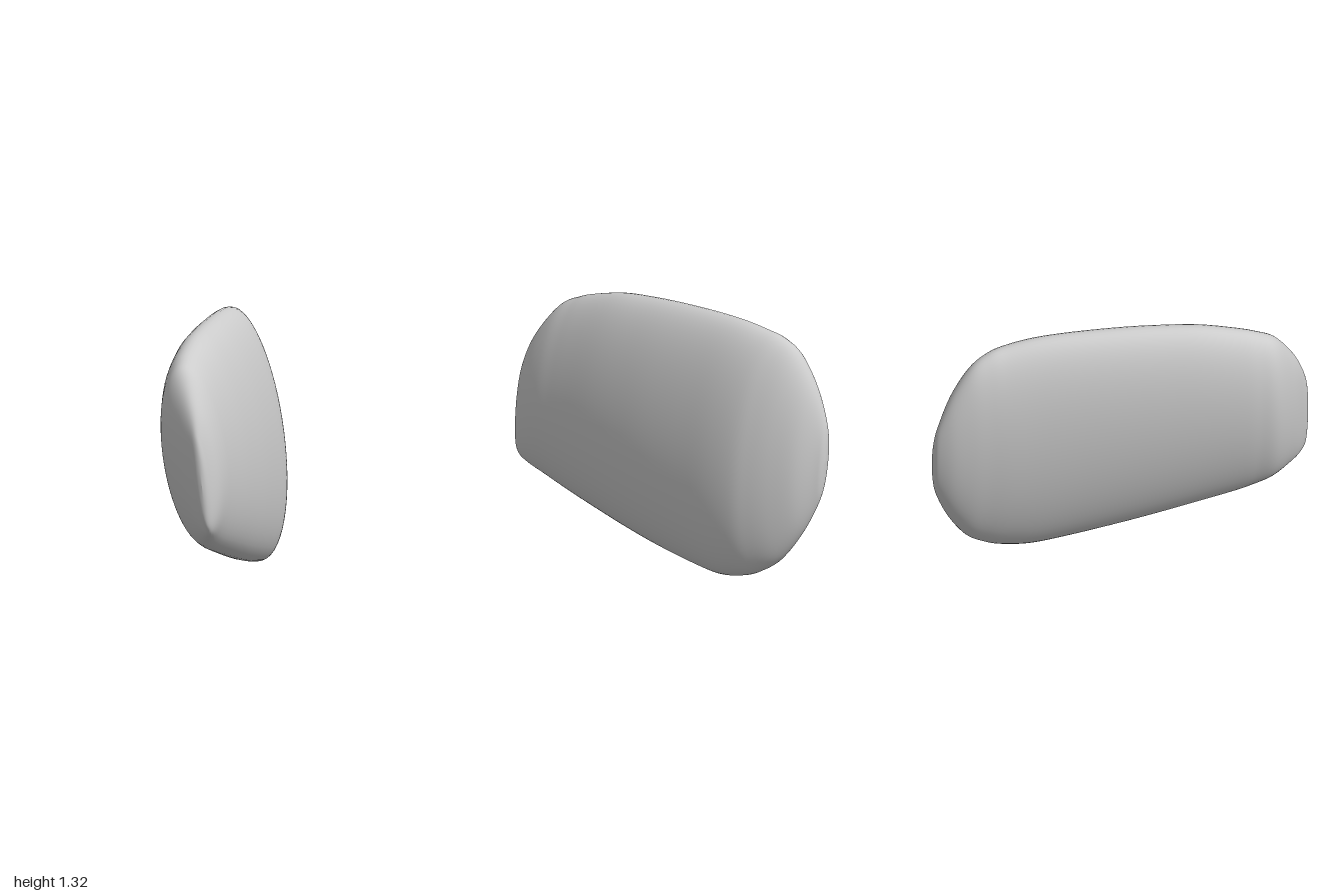
import * as THREE from 'three';

// Cross-sections from back to front: z, bottom y, top y, min x, max x
const STATIONS = [
  [-1, 0.66, 0.66, -0.09, -0.09],
  [-0.992, 0.53, 0.78, -0.125, -0.06],
  [-0.97, 0.43, 0.88, -0.15, -0.03],
  [-0.9, 0.27, 1.05, -0.182, 0.055],
  [-0.8, 0.125, 1.2, -0.2, 0.125],
  [-0.7, 0.055, 1.267, -0.205, 0.175],
  [-0.6, 0.018, 1.293, -0.208, 0.21],
  [-0.45, 0.002, 1.315, -0.211, 0.228],
  [-0.25, 0.028, 1.325, -0.217, 0.228],
  [0, 0.075, 1.325, -0.225, 0.221],
  [0.2, 0.12, 1.317, -0.23, 0.208],
  [0.4, 0.17, 1.3, -0.232, 0.19],
  [0.6, 0.222, 1.257, -0.227, 0.167],
  [0.7, 0.252, 1.225, -0.217, 0.156],
  [0.8, 0.287, 1.175, -0.193, 0.146],
  [0.9, 0.335, 1.045, -0.1, 0.13],
  [0.96, 0.378, 0.92, -0.025, 0.105],
  [0.99, 0.45, 0.8, 0.015, 0.078],
  [1, 0.62, 0.62, 0.05, 0.05],
];
const SIDES = 64, STEPS = 6, LEAN = 0.13;

// Catmull-Rom blend of neighbouring stations
function stationAt(t) {
  const last = STATIONS.length - 1;
  const i = Math.min(Math.floor(t), last - 1), f = t - i;
  const row = k => STATIONS[Math.max(0, Math.min(last, k))];
  return STATIONS[i].map((p1, c) => {
    const p0 = row(i - 1)[c], p2 = row(i + 1)[c], p3 = row(i + 2)[c];
    return p1 + 0.5 * f * (p2 - p0 + f * (2 * p0 - 5 * p1 + 4 * p2 - p3 + f * (3 * (p1 - p2) + p3 - p0)));
  });
}

export function createModel() {
  const positions = [], index = [];
  const rings = (STATIONS.length - 1) * STEPS;

  // Each ring is an ellipse whose top leans towards -x
  for (let r = 0; r <= rings; r++) {
    const [z, y0, y1, x0, x1] = stationAt(r / STEPS);
    const cx = (x0 + x1) / 2, cy = (y0 + y1) / 2;
    const halfX = Math.abs(x1 - x0) / 2, halfY = Math.abs(y1 - y0) / 2;
    const lean = Math.min(LEAN * halfY, halfX * 0.6);
    const width = Math.sqrt(halfX * halfX - lean * lean);
    for (let s = 0; s < SIDES; s++) {
      const a = (s / SIDES) * Math.PI * 2;
      positions.push(cx + width * Math.cos(a) - lean * Math.sin(a), cy + halfY * Math.sin(a), z);
    }
  }

  // Skin between rings; the end rings collapse to points
  for (let r = 0; r < rings; r++) {
    for (let s = 0; s < SIDES; s++) {
      const n = (s + 1) % SIDES;
      const a = r * SIDES + s, b = r * SIDES + n, c = a + SIDES, d = b + SIDES;
      if (r > 0) index.push(a, b, d);
      if (r < rings - 1) index.push(a, d, c);
      else index[index.length - 1] = d;
    }
  }

  const geometry = new THREE.BufferGeometry();
  geometry.setAttribute('position', new THREE.Float32BufferAttribute(positions, 3));
  geometry.setIndex(index);
  geometry.computeVertexNormals();

  const body = new THREE.Mesh(geometry, new THREE.MeshStandardMaterial({ color: 0xcccccc }));
  body.name = 'pebbleBody';
  const group = new THREE.Group();
  group.name = 'pebble';
  group.add(body);
  return group;
}
